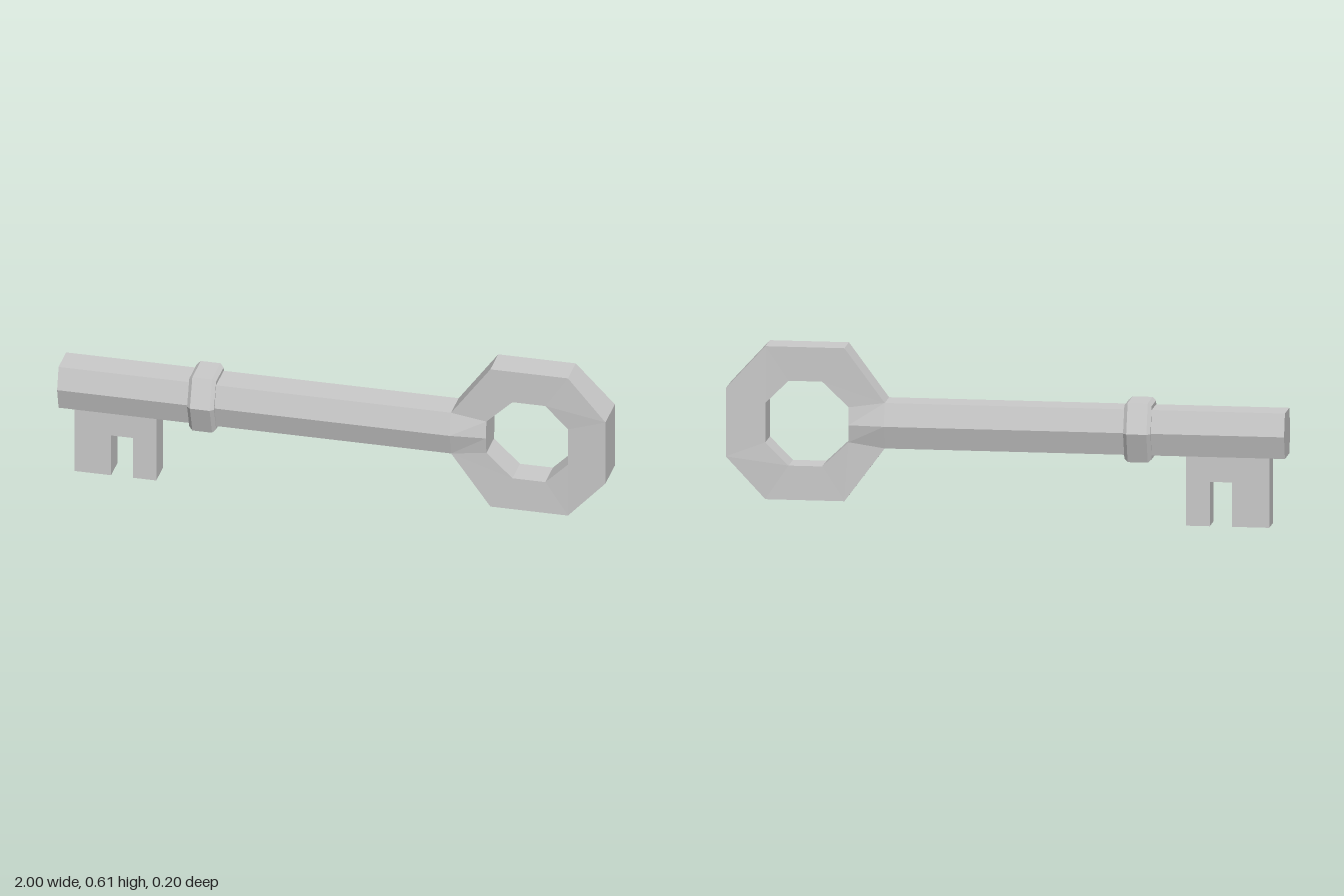
import * as THREE from 'three';

const AXIS_Y = 0.333;
const material = new THREE.MeshStandardMaterial({ color: 0xcccccc, flatShading: true });

// Skin a list of equal-length cross-sections, optionally capping both ends
function loft(sections, capped) {
  const pos = [];
  const tri = (...pts) => pts.forEach((p) => pos.push(...p));
  const n = sections[0].length;
  for (let i = 0; i < sections.length - 1; i++) {
    const s = sections[i], t = sections[i + 1];
    for (let j = 0; j < n; j++) {
      const k = (j + 1) % n;
      tri(s[j], t[j], t[k]);
      tri(s[j], t[k], s[k]);
    }
  }
  if (capped) {
    const first = sections[0], last = sections[sections.length - 1];
    for (let j = 1; j < n - 1; j++) {
      tri(first[0], first[j], first[j + 1]);
      tri(last[0], last[j + 1], last[j]);
    }
  }
  const geo = new THREE.BufferGeometry();
  geo.setAttribute('position', new THREE.Float32BufferAttribute(pos, 3));
  geo.computeVertexNormals();
  return geo;
}

// Hexagon across the shaft axis: half height, half width of the flat, half width at the middle
function hexagon([x, h, flat, mid]) {
  return [[h, flat], [h, -flat], [0, -mid], [-h, -flat], [-h, flat], [0, mid]]
    .map(([y, z]) => [x, AXIS_Y + y, z]);
}

export function createModel() {
  const group = new THREE.Group();
  const add = (name, geometry) => {
    const mesh = new THREE.Mesh(geometry, material);
    mesh.name = name;
    group.add(mesh);
  };

  // Hexagonal shaft, tapering where it passes through the bow
  add('shaft', loft([
    [-1, 0.082, 0.056, 0.078],
    [0.433, 0.082, 0.056, 0.078],
    [0.562, 0.063, 0.056, 0.066],
  ].map(hexagon), true));

  // Chamfered collar
  add('collar', loft([
    [-0.523, 0.096, 0.055, 0.088],
    [-0.51, 0.107, 0.063, 0.1],
    [-0.438, 0.107, 0.063, 0.1],
    [-0.425, 0.096, 0.055, 0.088],
  ].map(hexagon), true));

  // Bow: upper half as outer x, outer height, outer depth, inner x, inner height, inner depth
  const upper = [
    [0.433, 0.082, 0.056, 0.562, 0.063, 0.056],
    [0.577, 0.276, 0.058, 0.657, 0.153, 0.056],
    [0.86, 0.276, 0.058, 0.777, 0.153, 0.056],
    [1, 0.123, 0.07, 0.86, 0.071, 0.058],
  ];
  const bowSection = (sign) => ([ox, oy, oz, ix, iy, iz]) => [
    [ox, AXIS_Y + sign * oy, oz], [ox, AXIS_Y + sign * oy, -oz],
    [ix, AXIS_Y + sign * iy, -iz], [ix, AXIS_Y + sign * iy, iz],
  ];
  add('bow', loft([
    ...upper.map(bowSection(1)),
    ...[...upper].reverse().map(bowSection(-1)),
  ], false));

  // Notched bit under the tip, its top sunk into the shaft
  const outline = [
    [-0.943, 0], [-0.81, 0], [-0.81, 0.16], [-0.73, 0.16],
    [-0.73, 0], [-0.645, 0], [-0.645, 0.27], [-0.943, 0.27],
  ].map(([x, y]) => new THREE.Vector2(x, y));
  const bit = new THREE.ExtrudeGeometry(new THREE.Shape(outline), { depth: 0.098, bevelEnabled: false });
  bit.translate(0, 0, -0.049);
  add('bit', bit);

  return group;
}
